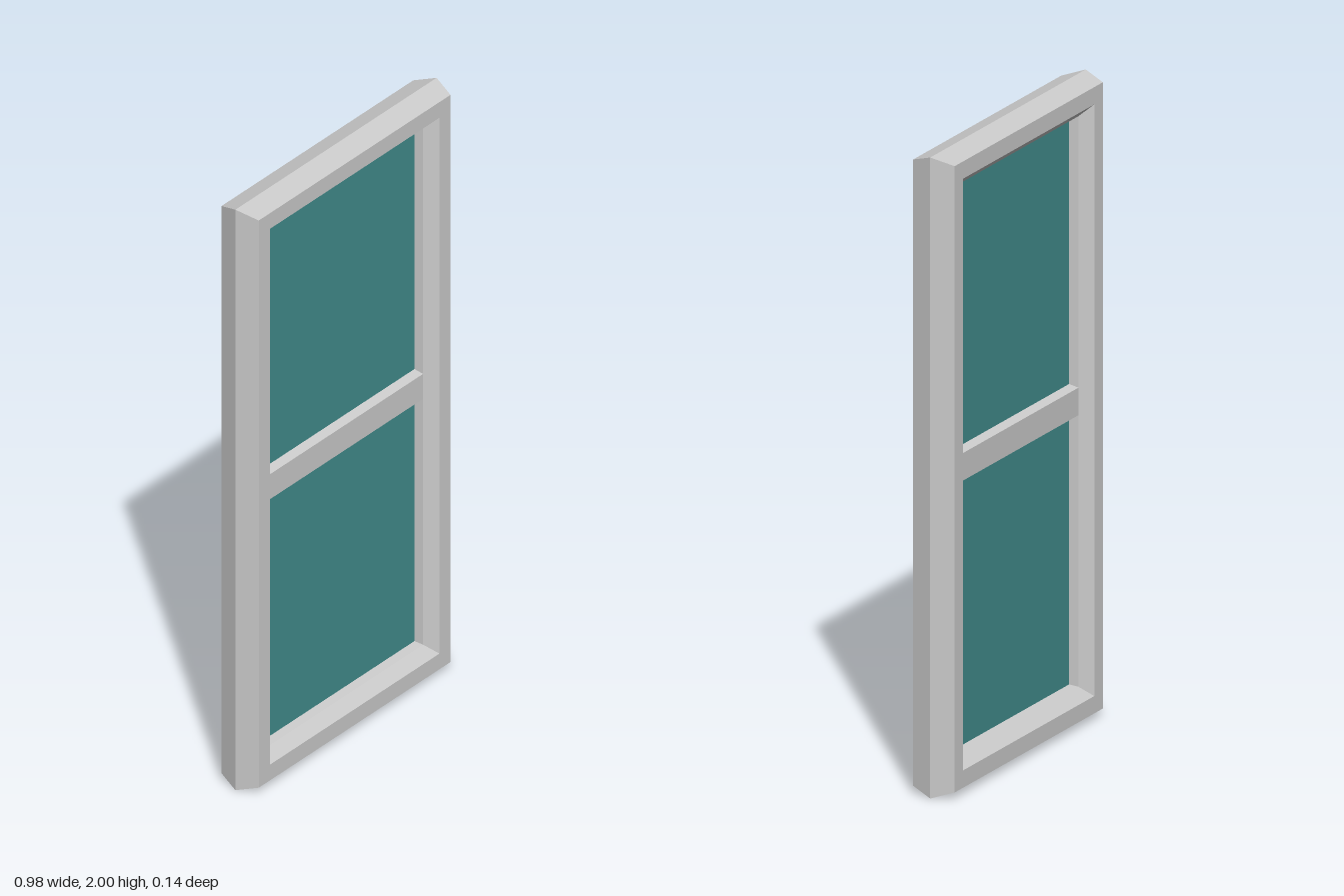
import * as THREE from 'three';

const HALF_W = 0.49, HEIGHT = 2;
const grey = new THREE.MeshStandardMaterial({ color: 0xcccccc, flatShading: true });
const teal = new THREE.MeshStandardMaterial({ color: 0x428c8c });

// Four corners of the rectangle set in by d, at depth z
function corners([d, z]) {
  const x = HALF_W - d, lo = d, hi = HEIGHT - d;
  return [[-x, lo, z], [x, lo, z], [x, hi, z], [-x, hi, z]];
}

// Sweep a closed profile of [inset, z] points round the rectangle with mitred corners
function mitredFrame(profile) {
  const pos = [];
  profile.forEach((p, i) => {
    const from = corners(p), to = corners(profile[(i + 1) % profile.length]);
    for (let s = 0; s < 4; s++) {
      const t = (s + 1) % 4;
      const a = from[s], b = from[t], c = to[t], d = to[s];
      pos.push(...a, ...b, ...c, ...a, ...c, ...d);
    }
  });
  const geo = new THREE.BufferGeometry();
  geo.setAttribute('position', new THREE.Float32BufferAttribute(pos, 3));
  geo.computeVertexNormals();
  return geo;
}

export function createModel() {
  const model = new THREE.Group();
  const add = (name, geo, mat, y = 0) => {
    const mesh = new THREE.Mesh(geo, mat);
    mesh.name = name;
    mesh.position.y = y;
    model.add(mesh);
    return mesh;
  };

  // Outer frame: ridged outside, sloped reveal with a steeper inner lip
  const front = [[0.023, 0.07], [0.077, 0.07], [0.11, 0.034]];
  const back = front.map(([d, z]) => [d, -z]).reverse();
  add('windowFrame', mitredFrame([[0, 0], ...front, [0.115, 0], ...back]), grey);

  // Middle rail with a hexagonal section
  const section = new THREE.Shape([
    [-0.034, -0.043], [0, -0.053], [0.034, -0.043],
    [0.034, 0.043], [0, 0.053], [-0.034, 0.043],
  ].map(([x, y]) => new THREE.Vector2(x, y)));
  const rail = new THREE.ExtrudeGeometry(section, { depth: 0.76, bevelEnabled: false });
  rail.translate(0, 0, -0.38).rotateY(Math.PI / 2);
  add('middleRail', rail, grey, 1);

  // Upper and lower panes, edges held inside the frame
  const pane = new THREE.BoxGeometry(0.756, 0.85, 0.01);
  add('upperPane', pane, teal, 1.465);
  add('lowerPane', pane, teal, 0.535);

  return model;
}
